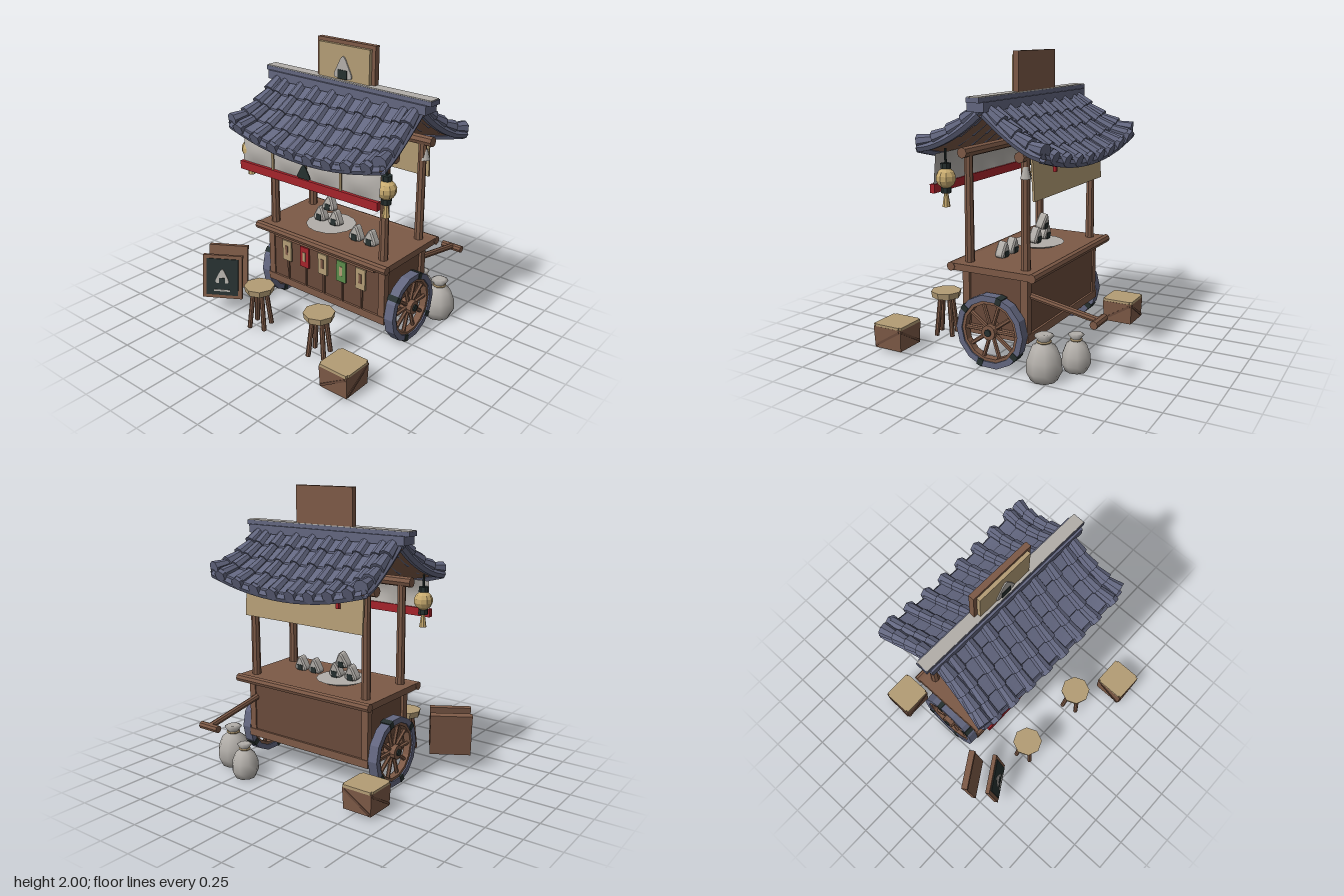
import * as THREE from 'three';

const flat = (name, color, side = THREE.FrontSide) =>
  Object.assign(new THREE.MeshStandardMaterial({ color, flatShading: true, side }), { name });
const tile = flat('slate tile', 0x62667f, THREE.DoubleSide);
const wood = flat('wood', 0x7c5946, THREE.DoubleSide);
const darkWood = flat('dark wood', 0x68493a);
const straw = flat('straw', 0xb39c75);
const gold = flat('lantern paper', 0xc9ac70);
const cloth = flat('pale cloth', 0xb2aea9, THREE.DoubleSide);
cloth.flatShading = false;
const red = flat('red', 0xa5232b);
const green = flat('green', 0x5b8c4a);
const dark = flat('charcoal', 0x26302f);

const V = (x, y, z) => new THREE.Vector3(x, y, z);
function add(parent, name, geo, mat, x = 0, y = 0, z = 0) {
  const m = new THREE.Mesh(geo, mat);
  m.name = name;
  m.position.set(x, y, z);
  parent.add(m);
  return m;
}
const box = (p, name, mat, w, h, d, x, y, z) => add(p, name, new THREE.BoxGeometry(w, h, d), mat, x, y, z);
// Cylinder from a to b
function rod(p, name, mat, a, b, ra, rb = ra, n = 8) {
  const d = b.clone().sub(a), mid = a.clone().add(b).multiplyScalar(0.5);
  const m = add(p, name, new THREE.CylinderGeometry(rb, ra, d.length(), n), mat, mid.x, mid.y, mid.z);
  m.quaternion.setFromUnitVectors(V(0, 1, 0), d.normalize());
}
function group(p, name, x = 0, y = 0, z = 0) {
  const g = new THREE.Group();
  g.name = name;
  g.position.set(x, y, z);
  p.add(g);
  return g;
}
// Surface from fn(u, v), both 0..1
function grid(fn, nu, nv, flip) {
  const pos = [], idx = [];
  for (let j = 0; j <= nv; j++) for (let i = 0; i <= nu; i++) pos.push(...fn(i / nu, j / nv).toArray());
  for (let j = 0; j < nv; j++) for (let i = 0; i < nu; i++) {
    const a = j * (nu + 1) + i, b = a + 1, c = a + nu + 1, d = c + 1;
    idx.push(...(flip ? [a, b, c, b, d, c] : [a, c, b, b, c, d]));
  }
  const g = new THREE.BufferGeometry();
  g.setAttribute('position', new THREE.Float32BufferAttribute(pos, 3));
  g.setIndex(idx);
  g.computeVertexNormals();
  return g;
}
// Rounded triangle standing on y = 0
function riceShape(w, h, depth, bevel = 0) {
  const c = [[-w / 2, 0], [w / 2, 0], [0, h]].map(p => new THREE.Vector2(...p));
  const s = new THREE.Shape();
  c.forEach((p, i) => {
    const a = p.clone().lerp(c[(i + 2) % 3], 0.25), b = p.clone().lerp(c[(i + 1) % 3], 0.25);
    if (i) s.lineTo(a.x, a.y);
    else s.moveTo(a.x, a.y);
    s.quadraticCurveTo(p.x, p.y, b.x, b.y);
  });
  return new THREE.ExtrudeGeometry(s, { depth, curveSegments: 4, bevelEnabled: bevel > 0,
    bevelSize: bevel, bevelThickness: bevel, bevelSegments: 1 }).translate(0, bevel, -depth / 2);
}
function riceBall(p, x, y, z, tilt) {
  const g = group(p, 'riceBall', x, y, z);
  add(g, 'rice', riceShape(0.1, 0.1, 0.045, 0.01), cloth);
  box(g, 'seaweed', dark, 0.045, 0.045, 0.072, 0, 0.024, 0);
  g.rotation.x = tilt;
}

// Point on the roof: u -1..1 along the ridge, v 0 (ridge) to 1 (eave), s = front or back
const roofPoint = (u, v, s, lift = 0) => V(u * (0.6 + 0.05 * v * v),
  1.66 - 0.23 * (1 - Math.max(0, 1 - v) ** 1.6) - 0.1 * v * v * (1 - u * u) + lift, s * (0.02 + 0.43 * v));

function buildRoof(root) {
  const roof = group(root, 'roof', 0.1, 0, -0.06);
  roof.rotation.set(0, -0.025, -0.007);
  const rows = 4;
  for (const s of [1, -1]) {
    add(roof, 'roofBoards', grid((a, v) => roofPoint(a * 2 - 1, v, s, -0.035), 12, 8, s > 0), wood);
    for (let r = 0; r < rows; r++) {
      // Stepped flat tiles
      add(roof, 'flatTiles', grid((a, t) => {
        const k = Math.min(t * 1.25, 1);
        return roofPoint(a * 2 - 1, (r + k) / rows, s, t > 0.9 ? -0.012 : 0.014 * k);
      }, 16, 5, s < 0), tile);
      // Overlapping round tiles, with heavier ones on the gable edges
      for (let i = -1; i < 9; i++) {
        const edge = i < 0 || i > 7;
        const u = edge ? (i < 0 ? -0.97 : 0.97) : (i - 3.5) * 0.242;
        rod(roof, 'roundTile', tile, roofPoint(u, r / rows, s, edge ? 0.01 : 0.005),
          roofPoint(u, (r + 1.05) / rows, s, edge ? 0.018 : 0.01), 0.034, edge ? 0.05 : 0.043);
      }
    }
    for (let i = 0; i < 8; i++) {
      const p = roofPoint((i - 3.5) * 0.242, 1, s, 0.005);
      rod(roof, 'tileEnd', tile, p, p.clone().add(V(0, -0.012, s * 0.03)), 0.046, 0.046, 6);
    }
    // Curved trims along eave and gable edges
    const trim = pts => new THREE.TubeGeometry(new THREE.CatmullRomCurve3(pts), 14, 0.03, 6);
    const steps = [0, 1, 2, 3, 4, 5, 6];
    add(roof, 'eaveTrim', trim(steps.map(k => roofPoint(k / 3 - 1, 0.98, s, -0.03))), tile);
    for (const u of [-1, 1])
      add(roof, 'gableTrim', trim(steps.map(k => roofPoint(u, k / 6, s, -0.025))), tile);
  }
  box(roof, 'ridgeBase', tile, 1.34, 0.06, 0.12, 0, 1.68, 0);
  box(roof, 'ridge', tile, 1.4, 0.03, 0.09, 0, 1.722, 0);
  box(roof, 'ridgeCap', cloth, 1.39, 0.006, 0.085, 0, 1.74, 0);
  // Sign on the ridge
  const sign = group(roof, 'sign', -0.01, 1.72, -0.02);
  box(sign, 'signBoard', wood, 0.485, 0.28, 0.04, 0, 0.14, 0);
  box(sign, 'signPanel', straw, 0.43, 0.23, 0.03, 0, 0.14, 0.03);
  add(sign, 'signRice', riceShape(0.18, 0.17, 0.008), cloth, 0, 0.035, 0.049);
  box(sign, 'signSeaweed', dark, 0.075, 0.06, 0.008, 0, 0.063, 0.054);
}

function buildCart(root) {
  const cart = group(root, 'cart', 0.105, 0, -0.07);
  box(cart, 'body', darkWood, 1, 0.42, 0.46, 0, 0.41, 0);
  box(cart, 'counter', wood, 1.14, 0.045, 0.6, 0, 0.635, 0);
  for (const z of [-0.295, 0.295])
    rod(cart, 'counterEdge', wood, V(-0.575, 0.635, z), V(0.575, 0.635, z), 0.03);
  box(cart, 'bottomFrame', wood, 1.05, 0.055, 0.49, 0, 0.217, 0);
  for (const x of [-0.495, 0.495]) for (const z of [-0.215, 0.215]) {
    box(cart, 'cornerPost', wood, 0.05, 0.42, 0.05, x, 0.41, z);
    rod(cart, 'roofPost', wood, V(x * 0.97, 0.64, z * 0.96), V(x * 0.97, 1.4, z * 0.96), 0.032, 0.028);
  }
  for (const z of [-0.205, 0.205])
    rod(cart, 'topBeam', wood, V(-0.56, 1.375, z), V(0.56, 1.375, z), 0.035);
  // Wheels
  rod(cart, 'axle', wood, V(-0.6, 0.245, 0), V(0.6, 0.245, 0), 0.025);
  const ring = (ri, ro, w) => new THREE.LatheGeometry([[ri, -w], [ro, -w], [ro, w], [ri, w], [ri, -w]]
    .map(p => new THREE.Vector2(...p)), 14).rotateZ(Math.PI / 2);
  for (const s of [-1, 1]) {
    const w = group(cart, 'wheel', s * 0.56, 0.245, 0);
    add(w, 'tyre', ring(0.205, 0.245, 0.035), tile);
    add(w, 'rim', ring(0.185, 0.206, 0.025), wood);
    rod(w, 'hub', wood, V(-0.045, 0, 0), V(0.045, 0, 0), 0.05, 0.05, 10);
    rod(w, 'hubCap', dark, V(-0.055, 0, 0), V(0.055, 0, 0), 0.024);
    for (let i = 0; i < 10; i++) {
      const a = i * Math.PI / 5, d = V(0, Math.sin(a), Math.cos(a));
      rod(w, 'spoke', wood, d.clone().multiplyScalar(0.03), d.clone().multiplyScalar(0.2), 0.014, 0.014, 6);
      if (i % 5 === 1 || i % 5 === 3)
        box(w, 'tyreStrap', dark, 0.078, 0.04, 0.046, 0, d.y * 0.223, d.z * 0.223).rotation.x = -a;
    }
  }
  // Pull handle
  rod(cart, 'handle', wood, V(0.465, 0.495, -0.2), V(0.465, 0.405, -0.7), 0.022);
  rod(cart, 'handleGrip', wood, V(0.385, 0.4, -0.7), V(0.545, 0.4, -0.7), 0.026);
  // Hanging tags on the front
  box(cart, 'tagRail', wood, 0.89, 0.025, 0.035, 0, 0.577, 0.245);
  [straw, red, straw, green, straw].forEach((mat, i) => {
    const x = (i - 2) * 0.166;
    box(cart, 'tagStick', darkWood, 0.014, 0.33, 0.012, x, 0.41, 0.24);
    box(cart, 'tag', mat, 0.08, 0.155, 0.014, x, 0.478, 0.252);
    box(cart, 'tagMark', mat === straw ? wood : straw, 0.024, 0.07, 0.004, x, 0.482, 0.261);
  });
  // Food on the counter
  add(cart, 'plate', new THREE.CylinderGeometry(0.18, 0.14, 0.018, 14), cloth, -0.115, 0.67, 0.02);
  riceBall(cart, -0.205, 0.682, 0.025, -0.1);
  riceBall(cart, -0.07, 0.682, 0.025, -0.1);
  riceBall(cart, -0.14, 0.77, 0.01, -0.2);
  for (const x of [0.16, 0.285]) riceBall(cart, x, 0.655, 0.08, -0.08);
}

function buildHangings(root) {
  // Front curtain of four billowing panels
  const c = group(root, 'curtain', 0.105, 0, 0.32);
  for (let i = 0; i < 4; i++)
    add(c, 'curtainPanel', grid((a, t) => V(-0.58 + (i + a) * 0.29, 1.36 - 0.21 * t,
      0.02 * t + 0.03 * Math.sin(Math.PI * a) * Math.sin(Math.PI * t)), 8, 6), cloth);
  for (const x of [-0.29, 0, 0.29]) box(c, 'curtainStrap', straw, 0.016, 0.25, 0.012, x, 1.23, 0.032);
  box(c, 'curtainHem', red, 1.17, 0.058, 0.035, 0, 1.133, 0.028);
  add(c, 'curtainEmblem', riceShape(0.13, 0.11, 0.008), dark, 0.005, 1.175, 0.055);
  // Back blind with two red tags
  box(root, 'backBlind', straw, 1, 0.27, 0.014, 0.105, 1.235, -0.335).rotation.x = 0.06;
  for (const x of [-0.22, 0.37]) box(root, 'backTag', red, 0.025, 0.12, 0.02, x, 1.315, -0.37);
  add(root, 'bell', new THREE.CylinderGeometry(0.016, 0.036, 0.075, 8), cloth, 0.6, 1.275, -0.285);
  // Lanterns
  for (const [x, y, z] of [[-0.46, 1.23, 0.28], [0.675, 1.21, 0.25]]) {
    const l = group(root, 'lantern', x, y, z);
    add(l, 'lanternBody', new THREE.SphereGeometry(0.066, 10, 7), gold);
    for (const s of [-1, 1])
      add(l, 'lanternCap', new THREE.CylinderGeometry(0.034, 0.034, 0.035, 8), dark, 0, s * 0.078, 0);
    rod(l, 'lanternCord', dark, V(0, 0.09, 0), V(0, 0.19, 0), 0.008);
    rod(l, 'tassel', gold, V(0, -0.185, 0), V(0, -0.09, 0), 0.026, 0.012);
  }
}

function buildProps(root) {
  // Stools
  for (const [x, z] of [[-0.21, 0.495], [0.34, 0.5]]) {
    const s = group(root, 'stool', x, 0, z);
    add(s, 'stoolSeat', new THREE.CylinderGeometry(0.108, 0.1, 0.045, 8), straw, 0, 0.312, 0);
    for (let i = 0; i < 4; i++) {
      const a = i * Math.PI / 2 + 0.5, d = V(Math.cos(a), 0, Math.sin(a));
      rod(s, 'stoolLeg', wood, d.clone().multiplyScalar(0.08).setY(0.015),
        d.clone().multiplyScalar(0.045).setY(0.3), 0.017);
    }
  }
  // Sacks
  const prof = [[0, 0], [0.75, 0], [1, 0.2], [0.97, 0.45], [0.72, 0.7], [0.38, 0.8],
    [0.34, 0.86], [0.55, 0.96], [0.35, 1], [0, 0.98]];
  for (const [x, z, r, h] of [[0.67, -0.45, 0.115, 0.3], [0.45, -0.565, 0.095, 0.25]]) {
    add(root, 'sack', new THREE.LatheGeometry(prof.map(p => new THREE.Vector2(p[0] * r, p[1] * h)), 9), cloth, x, 0, z);
    add(root, 'sackTie', new THREE.TorusGeometry(r * 0.36, 0.008, 5, 9).rotateX(Math.PI / 2), straw, x, h * 0.83, z);
  }
  // Crates, narrower at the base
  for (const [x, z] of [[0.685, 0.67], [-0.53, -0.485]]) {
    const c = group(root, 'crate', x, 0.02, z);
    add(c, 'crateBody', new THREE.CylinderGeometry(0.158, 0.15, 0.15, 4).rotateY(Math.PI / 4), wood, 0, 0.075, 0);
    for (const s of [-1, 1]) {
      box(c, 'crateBrace', darkWood, 0.23, 0.016, 0.01, 0, 0.075, s * 0.109).rotation.z = 0.55;
      box(c, 'crateBrace', darkWood, 0.01, 0.016, 0.23, s * 0.109, 0.075, 0).rotation.x = 0.55;
    }
    box(c, 'crateLid', straw, 0.21, 0.02, 0.225, 0, 0.158, 0);
    box(c, 'crateLidBand', straw, 0.23, 0.016, 0.19, 0, 0.16, 0);
  }
  // Two leaning menu boards
  const board = (name, x, z) => {
    const b = group(root, name, x, 0.28, z);
    b.rotation.set(-0.2, 0.55, 0, 'YXZ');
    box(b, 'boardFrame', wood, 0.29, 0.32, 0.03, 0, 0, 0);
    return b;
  };
  const back = board('backBoard', -0.665, 0.355);
  box(back, 'boardTopRail', wood, 0.29, 0.03, 0.045, 0, 0.145, 0);
  const front = board('menuBoard', -0.575, 0.5);
  box(front, 'slate', dark, 0.235, 0.27, 0.012, 0, 0, 0.017);
  add(front, 'chalkRice', riceShape(0.12, 0.12, 0.006), cloth, 0, -0.045, 0.026);
  box(front, 'chalkSeaweed', dark, 0.045, 0.04, 0.006, 0, -0.025, 0.03);
  box(front, 'chalkLine', cloth, 0.12, 0.012, 0.006, 0, -0.1, 0.025);
}

export function createModel() {
  const root = new THREE.Group();
  root.name = 'foodCart';
  buildRoof(root);
  buildCart(root);
  buildHangings(root);
  buildProps(root);
  return root;
}
